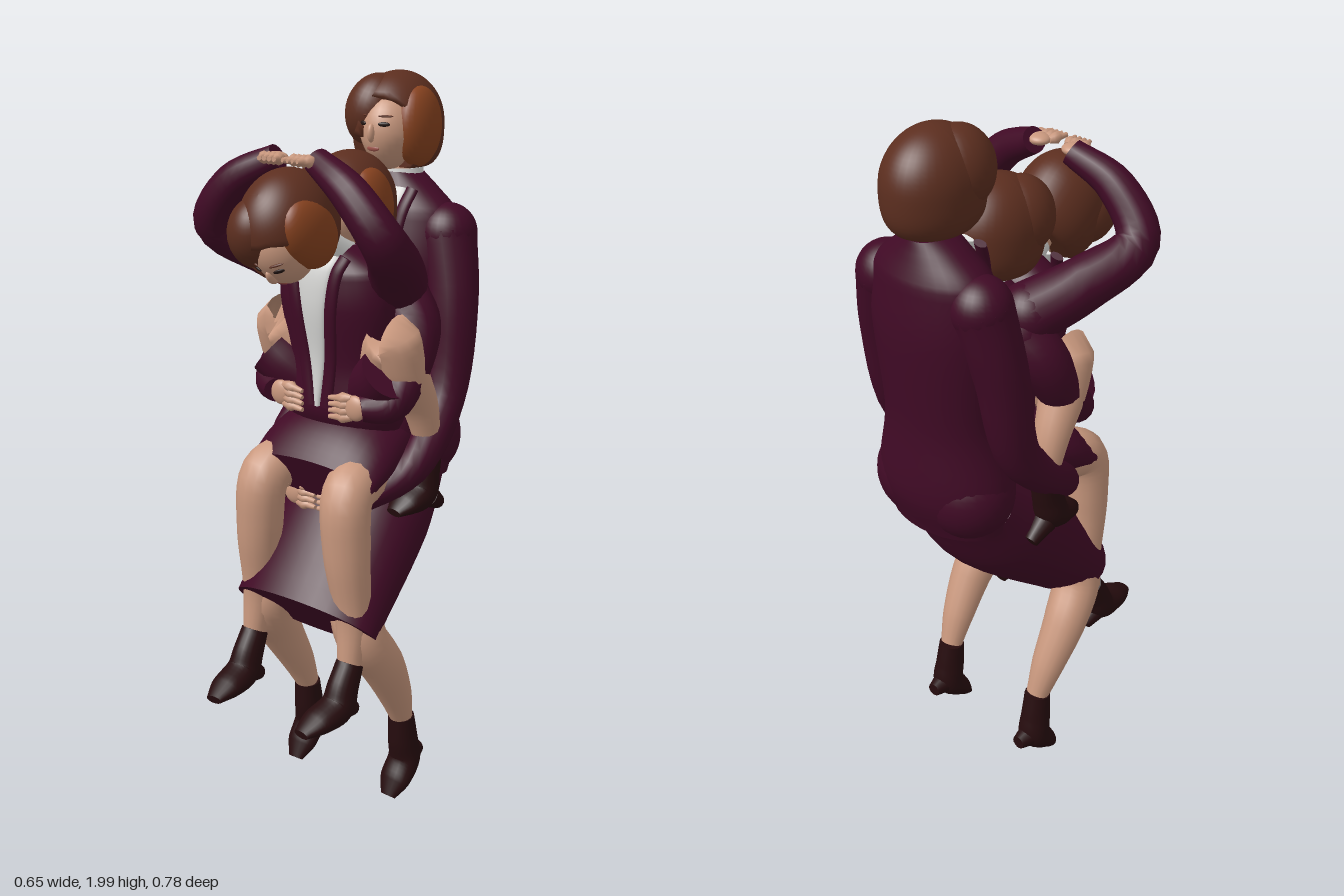
import * as THREE from 'three';

const mat = (name, color) => {
  const m = new THREE.MeshStandardMaterial({ color });
  m.name = name;
  return m;
};
const M = {
  cloth: mat('burgundy cloth', 0x400a25),
  skin: mat('skin', 0xc9987e),
  hair: mat('brown hair', 0x5c2e1f),
  lock: mat('auburn hair', 0x87421f),
  boot: mat('dark boot', 0x260c0e),
  shirt: mat('white shirt', 0xd8d8d6),
  eye: mat('dark eye', 0x241613),
  lip: mat('lips', 0x9a5048),
};

function add(parent, name, geometry, material) {
  const mesh = new THREE.Mesh(geometry, material);
  mesh.name = name;
  parent.add(mesh);
  return mesh;
}

const mix = (a, b, t) => a.map((v, i) => v + (b[i] - v) * t);
const ball = (x, y, z, a, b, c) => new THREE.SphereGeometry(1, 28, 20).scale(a, b, c).translate(x, y, z);

// Smooth body through stations [x, y, z, halfWidth, halfDepth], closed by flat caps
function sweep(stations, ref = [1, 0, 0], sides = 20, steps = 6) {
  const path = new THREE.CatmullRomCurve3(stations.map(p => new THREE.Vector3(p[0], p[1], p[2])));
  const size = new THREE.CatmullRomCurve3(stations.map(p => new THREE.Vector3(p[3], p[4] ?? p[3], 0)));
  const n = (stations.length - 1) * steps, pos = [], idx = [];
  for (let i = 0; i <= n; i++) {
    const c = path.getPoint(i / n), r = size.getPoint(i / n), T = path.getTangent(i / n);
    const S = new THREE.Vector3(...ref);
    S.addScaledVector(T, -T.dot(S)).normalize();
    const N = T.clone().cross(S);
    for (let j = 0; j < sides; j++) {
      const a = j / sides * Math.PI * 2;
      const v = c.clone().addScaledVector(S, Math.cos(a) * r.x).addScaledVector(N, Math.sin(a) * r.y);
      pos.push(v.x, v.y, v.z);
      if (i < n) {
        const p = i * sides + j, q = i * sides + (j + 1) % sides;
        idx.push(p, q, p + sides, q, q + sides, p + sides);
      }
    }
  }
  for (const i of [0, n]) {
    const base = pos.length / 3, c = path.getPoint(i / n);
    for (let j = 0; j < sides * 3; j++) pos.push(pos[i * sides * 3 + j]);
    pos.push(c.x, c.y, c.z);
    for (let j = 0; j < sides; j++) {
      const p = base + j, q = base + (j + 1) % sides;
      idx.push(...(i ? [p, q, base + sides] : [q, p, base + sides]));
    }
  }
  const g = new THREE.BufferGeometry();
  g.setAttribute('position', new THREE.Float32BufferAttribute(pos, 3));
  g.setIndex(idx);
  g.computeVertexNormals();
  return g;
}

// Bobbed head with a heavy fringe over its right eye
function makeHead(y, z, tilt) {
  const head = new THREE.Group();
  head.name = 'head';
  const hair = new THREE.SphereGeometry(1, 40, 32), p = hair.attributes.position;
  for (let i = 0; i < p.count; i++) {
    const u = p.getY(i), full = u < 0 ? Math.sqrt(1 + u * u * 0.8) : 1;
    const hx = p.getX(i) * 0.112 * full - 0.012, hy = u * 0.135 - 0.01;
    let hz = p.getZ(i) * 0.14 * full;
    const open = -0.03 + Math.max(0, -hy) * 0.2;
    if (hx > open && hy < 0.065) hz = Math.min(hz, 0.045 + Math.max(0, hy) * 0.9);
    if (hx <= open && hy < -0.04) hz = Math.min(hz, 0.11 + hy * 0.3);
    p.setXYZ(i, hx, Math.max(hy, -0.12), hz);
  }
  hair.computeVertexNormals();
  add(head, 'hair', hair, M.hair);
  const fringe = add(head, 'fringe', ball(0, 0, 0, 0.078, 0.098, 0.09), M.hair);
  fringe.position.set(-0.052, 0.022, 0.045);
  fringe.rotation.z = -0.25;
  add(head, 'sideLock', ball(0.06, -0.015, 0.012, 0.05, 0.104, 0.082), M.lock);
  const face = ball(0, -0.025, 0.05, 0.078, 0.1, 0.09), f = face.attributes.position;
  for (let i = 0; i < f.count; i++) f.setX(i, f.getX(i) * (1 - Math.max(0, -0.04 - f.getY(i)) * 3));
  face.computeVertexNormals();
  add(head, 'face', face, M.skin);
  add(head, 'nose', ball(0, -0.025, 0.138, 0.01, 0.024, 0.014), M.skin);
  for (const s of [-1, 1]) {
    const eye = add(head, 'eye', ball(0, 0, 0, 0.016, 0.006, 0.004), M.eye);
    eye.position.set(s * 0.034, -0.002, 0.13);
    const brow = add(head, 'eyebrow', ball(0, 0, 0, 0.02, 0.003, 0.004), M.hair);
    brow.position.set(s * 0.036, 0.018, 0.125);
    eye.rotation.y = brow.rotation.y = s * 0.42;
  }
  add(head, 'lips', ball(0, -0.065, 0.13, 0.019, 0.007, 0.004), M.lip);
  head.position.set(0, y, z);
  head.rotation.x = tilt;
  return head;
}

// Palm with four fingers running along dir and fanned along spread
function makeHand(at, dir, spread) {
  const hand = new THREE.Group();
  hand.name = 'hand';
  const palm = dir.map((v, i) => 0.014 + 0.02 * Math.max(Math.abs(v), Math.abs(spread[i])));
  add(hand, 'palm', ball(...at, ...palm), M.skin);
  for (let i = 0; i < 4; i++) {
    const along = (d, r) => [...at.map((v, k) => v + spread[k] * (i - 1.5) * 0.017 + dir[k] * d), r];
    add(hand, 'finger', sweep([along(0.01, 0.0095), along(0.05, 0.0095), along(0.078, 0.006)], spread, 8, 3), M.skin);
  }
  return hand;
}

// Shared proportions: jacket [height fraction, halfWidth, halfDepth], then limb radii
const JACKET = [[0, 0.18, 0.1], [0.15, 0.2, 0.125], [0.4, 0.165, 0.108], [0.7, 0.185, 0.108], [0.88, 0.17, 0.09], [0.96, 0.1, 0.066], [1, 0.055, 0.055]];
const ARM = [0.08, 0.07, 0.057, 0.048, 0.034];
const LEG = [0.072, 0.069, 0.063, 0.048, 0.033];

function makeFigure(name, d) {
  const g = new THREE.Group();
  g.name = name;
  g.add(makeHead(...d.head));

  // jacket along the spine, shirt and lapels laid on its front
  const jacket = JACKET.map(([t, a, b]) => [...mix(d.hip, d.neck, t), a * d.width, b * d.depth]);
  add(g, 'jacket', sweep(jacket, [1, 0, 0], 32), M.cloth);
  const front = jacket.slice(1, 6).map(([x, y, z, , b], i) => [x, y, z + b, 0.008 + i * 0.015, 0.01]);
  add(g, 'shirtFront', sweep(front), M.shirt);

  // neck leaning from the jacket to the head
  const base = mix(d.hip, d.neck, 0.93), top = mix(base, [0, d.head[0], d.head[1]], 0.6);
  add(g, 'neck', sweep([[...base, 0.06], [...top, 0.048]]), M.skin);
  add(g, 'shirtCollar', sweep([[...base, 0.066], [...mix(base, top, 0.6), 0.056]]), M.shirt);
  add(g, 'skirt', sweep(d.skirt, [1, 0, 0], 32), M.cloth);

  for (const s of [-1, 1]) {
    const flip = ([x, ...rest]) => [x * s, ...rest];
    add(g, 'lapel', sweep(front.map(([, y, z, w]) => [s * (w + 0.018), y, z, 0.018, 0.01])), M.cloth);

    const arm = d.arm.map(flip);
    add(g, 'sleeve', sweep(arm.map((p, i) => [...p, ARM[i]]), [0, 0, 1], 16), M.cloth);
    add(g, 'shoulder', ball(...arm[0], ARM[0], ARM[0], ARM[0]), M.cloth);
    const dir = flip(d.reach);
    g.add(makeHand(arm[4].map((v, i) => v + dir[i] * 0.018), dir, d.spread));

    const [ankle, instep, toe, heel] = d.boot.map(flip);
    const leg = [...d.leg.map(flip), ankle];
    add(g, 'leg', sweep(leg.map((p, i) => [...p, LEG[i]]), [1, 0, 0], 16), M.skin);
    add(g, 'boot', sweep([[...ankle, 0.037], [...mix(ankle, instep, 0.55), 0.041, 0.045], [...instep, 0.046, 0.046],
      [...mix(instep, toe, 0.55), 0.047, 0.031], [...toe, 0.024, 0.012]]), M.boot);
    add(g, 'bootHeel', sweep([[...mix(instep, heel, 0.35), 0.034], [...heel, 0.02]], [1, 0, 0], 14), M.boot);
  }
  return g;
}

const rearPose = {
  head: [1.875, -0.25, 0], hip: [0, 0.93, -0.21], neck: [0, 1.74, -0.255], width: 1, depth: 1.14,
  skirt: [[0, 0.98, -0.19, 0.19, 0.12], [0, 0.83, -0.05, 0.222, 0.162], [0, 0.595, 0.175, 0.228, 0.124]],
  arm: [[0.15, 1.59, -0.25], [0.188, 1.42, -0.225], [0.203, 1.16, -0.17], [0.21, 1.01, -0.01], [0.1, 0.915, 0.11]],
  reach: [-1, 0, 0.15], spread: [0, 1, 0],
  leg: [[0.13, 0.66, 0.13], [0.16, 0.57, 0.14], [0.178, 0.47, 0.075], [0.175, 0.34, 0]],
  boot: [[0.17, 0.25, -0.04], [0.173, 0.11, -0.055], [0.17, 0.016, 0.02], [0.17, 0.11, -0.125]],
};
const middlePose = {
  head: [1.69, -0.035, 0.1], hip: [0, 1, -0.05], neck: [0, 1.56, -0.07], width: 0.93, depth: 0.93,
  skirt: [[0, 1.08, -0.09, 0.18, 0.11], [0, 1.04, 0.05, 0.205, 0.1], [0, 0.985, 0.155, 0.205, 0.066]],
  arm: [[0.12, 1.44, -0.08], [0.18, 1.38, -0.06], [0.2, 1.27, 0], [0.195, 1.2, 0.065], [0.14, 1.19, 0.115]],
  reach: [-1, -0.1, 0.1], spread: [0, 1, 0],
  leg: [[0.12, 1, 0.06], [0.138, 0.97, 0.168], [0.148, 0.82, 0.185], [0.16, 0.64, 0.175]],
  boot: [[0.166, 0.51, 0.195], [0.166, 0.405, 0.25], [0.152, 0.376, 0.385], [0.166, 0.37, 0.18]],
};
const frontPose = {
  head: [1.665, 0.225, 0.9], hip: [0, 1.1, -0.01], neck: [0, 1.59, 0.05], width: 0.93, depth: 0.93,
  skirt: [[0, 1.15, -0.05, 0.15, 0.08], [0, 1.19, 0, 0.175, 0.09], [0, 1.225, 0.08, 0.18, 0.05]],
  arm: [[0.13, 1.49, -0.05], [0.205, 1.55, 0.06], [0.268, 1.635, 0.195], [0.18, 1.75, 0.215], [0.06, 1.815, 0.19]],
  reach: [-0.25, 0.05, 0.75], spread: [0.9, 0, 0],
  leg: [[0.1, 1.24, 0], [0.182, 1.36, 0.035], [0.196, 1.28, 0.01], [0.21, 1.17, -0.05]],
  boot: [[0.215, 1.05, -0.085], [0.215, 0.935, -0.05], [0.2, 0.9, 0.05], [0.215, 0.88, -0.135]],
};

export function createModel() {
  const model = new THREE.Group();
  model.name = 'threeFigures';
  const rear = makeFigure('rearFigure', rearPose);
  const front = makeFigure('frontFigure', frontPose);
  model.add(rear, makeFigure('middleFigure', middlePose), front);
  for (const s of [-1, 1]) {
    // jacket fullness over the hips and skirt cloth over the raised thighs
    add(rear, 'hip', ball(s * 0.08, 1.03, -0.225, 0.125, 0.13, 0.118), M.cloth);
    add(front, 'thighCloth', sweep([[s * 0.09, 1.2, 0.02, 0.07], [s * 0.15, 1.25, 0.05, 0.075], [s * 0.188, 1.285, 0.06, 0.078]], [0, 0, 1]), M.cloth);
  }
  return model;
}
